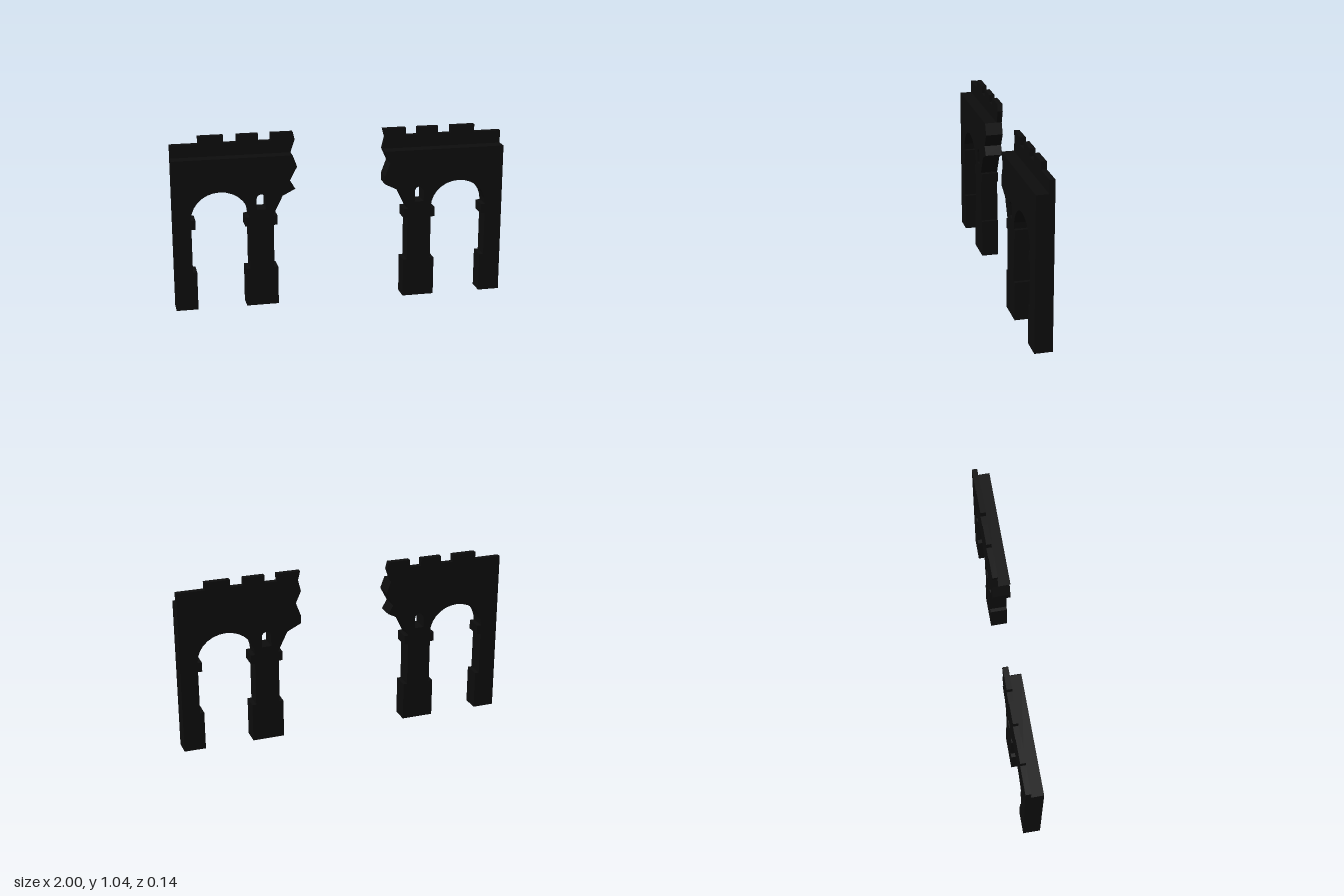
import * as THREE from 'three';

const stone = new THREE.MeshStandardMaterial({ color: 0x0d0d0d, flatShading: true });
const DEPTH = 0.105;      // thickness of the wall
const PARAPET = 0.032;    // thickness of the battlement

// Extrudes an outline given as [distance from the centre, y], on the side s
function slab(name, s, points, back, depth, hole) {
  const toVec = ([u, y]) => new THREE.Vector2(s * u, y);
  const shape = new THREE.Shape(points.map(toVec));
  if (hole) shape.holes.push(new THREE.Path(hole.map(toVec)));
  const geo = new THREE.ExtrudeGeometry(shape, { depth, bevelEnabled: false });
  geo.translate(0, 0, back);
  const mesh = new THREE.Mesh(geo, stone);
  mesh.name = name;
  return mesh;
}

function block(name, s, u0, u1, y0, y1, back) {
  const mesh = new THREE.Mesh(new THREE.BoxGeometry(u1 - u0, y1 - y0, DEPTH), stone);
  mesh.position.set(s * (u0 + u1) / 2, (y0 + y1) / 2, back + DEPTH / 2);
  mesh.name = name;
  return mesh;
}

// Half-ellipse from the inner side to the outer side
function arc(cx, cy, rx, ry, n) {
  return Array.from({ length: n + 1 }, (_, i) => {
    const a = Math.PI * (1 - i / n);
    return [cx + rx * Math.cos(a), cy + ry * Math.sin(a)];
  });
}

function ruin(name, s, back, brokenWall, brokenTop) {
  const g = new THREE.Group();
  g.name = name;

  // Wall over the piers, with the arch, the broken edge and a small window
  const arch = arc(0.723, 0.56, 0.172, 0.16, 14);
  const window = [[0.45, 0.6], ...arc(0.478, 0.665, 0.028, 0.028, 8), [0.506, 0.6]];
  g.add(slab('archWall', s,
    [...brokenWall, [0.35, 0.677], [0.408, 0.56], ...arch, [1, 0.56], [1, 0.92]],
    back, DEPTH, window));

  // Battlement along the back edge
  g.add(slab('battlement', s,
    [[1, 0.92], [1, 0.998], [0.835, 0.998], [0.835, 1.043], [0.685, 1.043], [0.685, 0.998],
      [0.608, 0.998], [0.608, 1.043], [0.48, 1.043], [0.48, 0.998],
      [0.407, 0.998], [0.407, 1.043], ...brokenTop],
    back, PARAPET));

  // Piers: base, shaft and capital
  const piers = [
    ['middlePier', 0.383, 0.576, 0.406, 0.552],
    ['outerPier', 0.87, 1, 0.895, 1],
  ];
  for (const [pier, a, b, c, d] of piers) {
    const p = new THREE.Group();
    p.name = pier;
    p.add(block('base', s, a, b, 0, 0.235, back));
    p.add(block('shaft', s, c, d, 0.235, 0.5, back));
    p.add(block('capital', s, a, b, 0.5, 0.557, back));
    p.add(block('neck', s, c, d, 0.557, 0.56, back));
    g.add(p);
  }
  return g;
}

export function createModel() {
  const model = new THREE.Group();
  model.name = 'ruinedArches';
  model.add(ruin('rightRuin', -1, -0.07,
    [[0.288, 0.92], [0.262, 0.85], [0.305, 0.768], [0.274, 0.715]],
    [[0.273, 1.043], [0.262, 0.998], [0.288, 0.92]]));
  model.add(ruin('leftRuin', 1, -0.035,
    [[0.263, 0.92], [0.295, 0.848], [0.264, 0.765], [0.266, 0.718]],
    [[0.266, 1.043], [0.28, 0.99], [0.263, 0.92]]));
  return model;
}
